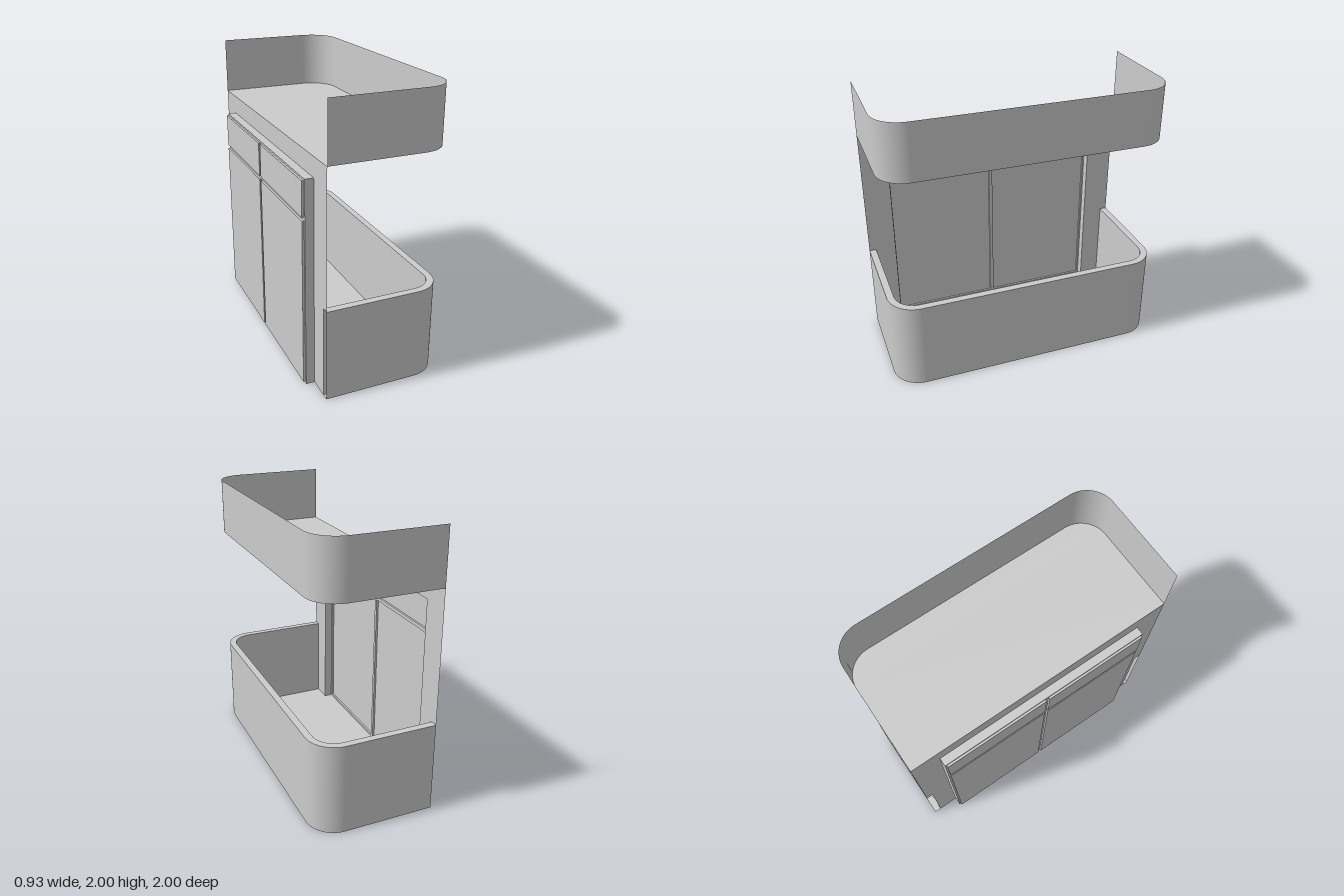
import * as THREE from 'three';

const BACK = -0.39, FRONT = 0.46, RADIUS = 0.2, WALL = 0.05;
const RAIL = 0.65, DECK = 1.6, TOP = 2;
const DOOR_W = 0.8, DOOR_H = 1.465, DOOR_DEPTH = 0.06, PANEL_DEPTH = 0.015;

const material = new THREE.MeshStandardMaterial({ color: 0xcccccc, side: THREE.DoubleSide });

// Balcony plan, open on the house side: straight ends joined by rounded corners
function planOutline(inset) {
  const x = FRONT - inset, z = 1 - inset, r = RADIUS - inset;
  const path = new THREE.Path();
  path.moveTo(BACK, -z);
  path.lineTo(x - r, -z);
  path.absarc(x - r, -z + r, r, -Math.PI / 2, 0, false);
  path.lineTo(x, z - r);
  path.absarc(x - r, z - r, r, 0, Math.PI / 2, false);
  path.lineTo(BACK, z);
  return path.getPoints(10);
}

function rectangle(a0, b0, a1, b1) {
  return [[a0, b0], [a1, b0], [a1, b1], [a0, b1]].map(([a, b]) => new THREE.Vector2(a, b));
}

// Flat sheet bounded by points, with optional openings
function sheet(points, holes = []) {
  const shape = new THREE.Shape(points);
  shape.holes = holes.map((h) => new THREE.Path(h));
  return new THREE.ShapeGeometry(shape);
}

// Thin band that follows points and rises by depth
function band(points, depth, closed = false) {
  const path = closed ? [...points, points[0]] : points;
  const positions = [], index = [];
  path.forEach((p, i) => {
    positions.push(p.x, p.y, 0, p.x, p.y, depth);
    const k = 2 * i;
    if (i < path.length - 1) index.push(k, k + 2, k + 3, k, k + 3, k + 1);
  });
  let geometry = new THREE.BufferGeometry();
  geometry.setAttribute('position', new THREE.Float32BufferAttribute(positions, 3));
  geometry.setIndex(index);
  if (closed) geometry = geometry.toNonIndexed(); // crisp corners
  geometry.computeVertexNormals();
  return geometry;
}

export function createModel() {
  const group = new THREE.Group();
  const add = (name, geometry) => {
    const mesh = new THREE.Mesh(geometry, material);
    mesh.name = name;
    group.add(mesh);
  };
  // Plan shapes lie at height y; wall shapes stand at x, their depth going outwards (-x)
  const addPlan = (name, geometry, y) => add(name, geometry.rotateX(-Math.PI / 2).translate(0, y, 0));
  const addWall = (name, geometry, x) => add(name, geometry.rotateY(-Math.PI / 2).translate(x, 0, 0));

  const outer = planOutline(0);
  const inner = planOutline(WALL);

  // Lower balcony: floor and a hollow parapet with a flat rim
  addPlan('lowerFloor', sheet(outer), 0);
  addPlan('lowerParapetOuter', band(outer, RAIL), 0);
  addPlan('lowerParapetInner', band([...inner].reverse(), RAIL), 0);
  addPlan('lowerParapetRim', sheet([...outer, ...[...inner].reverse()]), RAIL);

  // Upper balcony: thin floor and parapet
  addPlan('upperFloor', sheet(outer), DECK);
  addPlan('upperParapet', band(outer, TOP - DECK), DECK);

  // House wall around the doorway, narrower between the lower parapet ends
  const half = [[DOOR_W, 0], [1 - WALL, 0], [1 - WALL, RAIL], [1, RAIL], [1, DECK]];
  const wall = [
    ...half.map(([z, y]) => new THREE.Vector2(z, y)),
    ...half.map(([z, y]) => new THREE.Vector2(-z, y)).reverse(),
    new THREE.Vector2(-DOOR_W, DOOR_H),
    new THREE.Vector2(DOOR_W, DOOR_H),
  ];
  addWall('houseWall', sheet(wall), BACK);

  // Doorway reveal, frame and four panels pushed outwards
  const doorway = rectangle(-DOOR_W, 0, DOOR_W, DOOR_H);
  const panels = [];
  for (const [z0, z1] of [[-0.788, -0.013], [0.013, 0.788]]) {
    for (const [y0, y1] of [[0.015, 1.187], [1.213, 1.453]]) panels.push(rectangle(z0, y0, z1, y1));
  }
  const frameX = BACK - DOOR_DEPTH;
  addWall('doorReveal', band(doorway, DOOR_DEPTH, true), BACK);
  addWall('doorFrame', sheet(doorway, panels), frameX);
  panels.forEach((p, i) => {
    const name = i % 2 ? 'transomPanel' : 'doorPanel';
    addWall(name + 'Edge', band(p, PANEL_DEPTH, true), frameX);
    addWall(name, sheet(p), frameX - PANEL_DEPTH);
  });

  return group;
}
